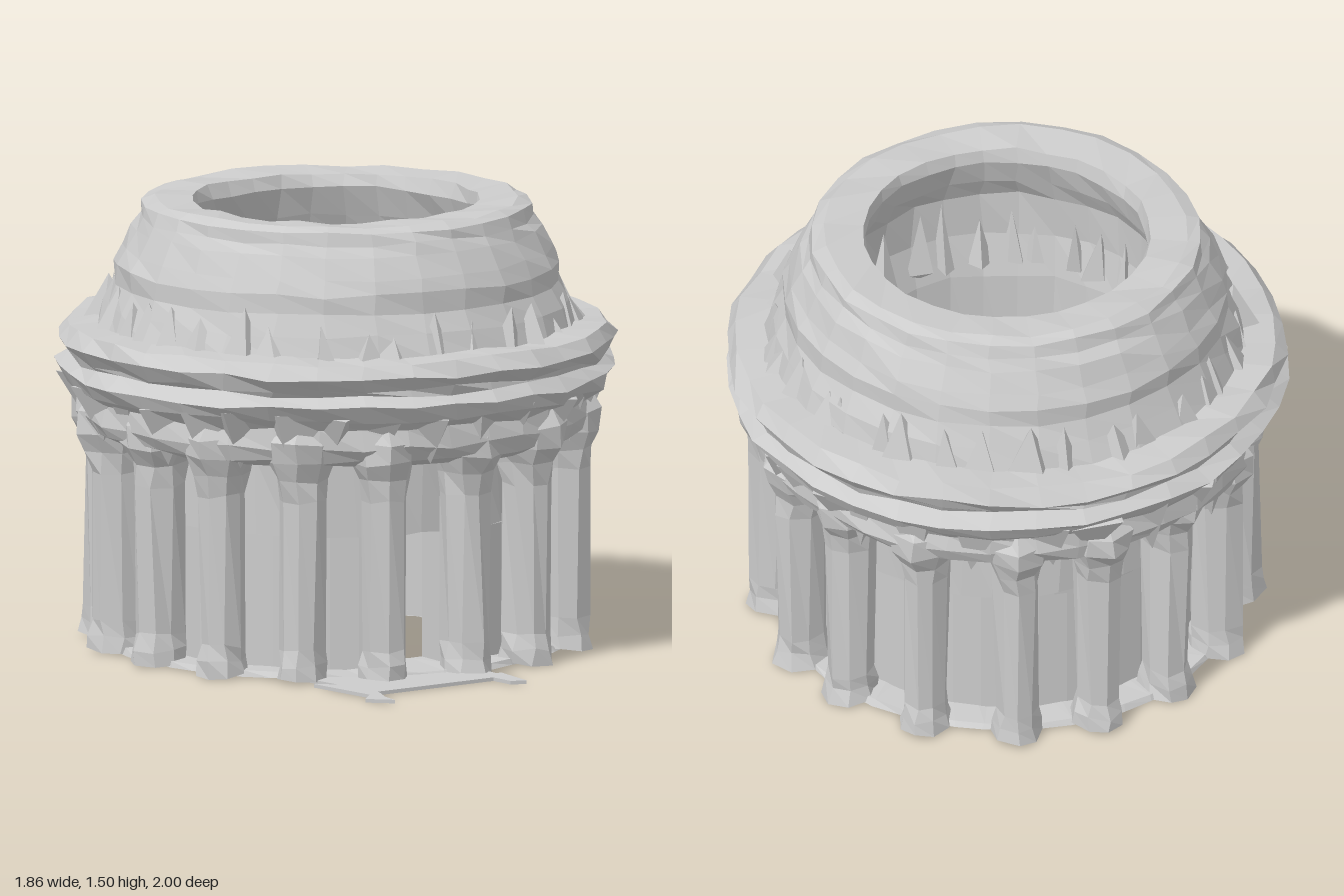
import * as THREE from 'three';

const mat = new THREE.MeshStandardMaterial({ color: 0xcccccc, flatShading: true, side: THREE.DoubleSide });
const COLUMNS = 16;
const FULL = Math.PI * 2;

// Repeatable pseudo-random value from -1 to 1
function hash(a, b, c) {
  const s = Math.sin(a * 12.99 + b * 78.23 + c * 37.72) * 43758.55;
  return (s - Math.floor(s)) * 2 - 1;
}

// Roughen a surface; coincident vertices move together
function weather(geo, amount, seed = 0) {
  const p = geo.attributes.position;
  for (let i = 0; i < p.count; i++) {
    const [x, y, z] = [p.getX(i), p.getY(i), p.getZ(i)];
    const [a, b, c] = [x, y, z].map((v) => Math.round(v * 500) + seed);
    p.setXYZ(i, x + hash(a, b, c) * amount, y + hash(b, c, a) * amount, z + hash(c, a, b) * amount);
  }
  geo.computeVertexNormals();
  return geo;
}

function add(parent, name, geo) {
  const mesh = new THREE.Mesh(geo, mat);
  mesh.name = name;
  parent.add(mesh);
  return mesh;
}

// Ring turned from [radius, height] pairs, outside going up
function ring(parent, name, profile, rough, segments = 36, start = 0, sweep = FULL) {
  const pts = profile.map(([r, y]) => new THREE.Vector2(r, y));
  return add(parent, name, weather(new THREE.LatheGeometry(pts, segments, start, sweep), rough));
}

// Jagged ornaments placed unevenly round the axis
function ornaments(parent, name, count, radius, y, size, height, flip = false) {
  const group = new THREE.Group();
  group.name = name;
  for (let i = 0; i < count; i++) {
    const a = ((i + 0.3 * hash(i, count, 3)) / count) * FULL;
    const h = height * (1 + 0.25 * hash(i, 5, count));
    const geo = weather(new THREE.ConeGeometry(size * (1 + 0.2 * hash(i, 9, 4)), h, 4), 0.015, i);
    if (flip) geo.rotateX(Math.PI);
    const m = add(group, name + 'Piece', geo);
    m.position.set(Math.sin(a) * radius, y + (flip ? -h : h) / 2, Math.cos(a) * radius);
    m.rotation.y = a + hash(i, 2, 7) * 0.8;
  }
  parent.add(group);
}

// Flat sheet with slight thickness lying on the ground
function sheet(parent, name, corners) {
  const shape = new THREE.Shape(corners.map(([x, z]) => new THREE.Vector2(x, -z)));
  const geo = new THREE.ExtrudeGeometry(shape, { depth: 0.012, bevelEnabled: false });
  add(parent, name, geo.rotateX(-Math.PI / 2));
}

export function createModel() {
  const model = new THREE.Group();
  model.name = 'roundTemple';
  const body = new THREE.Group();
  body.name = 'rotunda';
  body.position.set(-0.008, 0, -0.068);
  model.add(body);

  // Floor under the columns
  ring(body, 'floor', [[0.51, 0.005], [0.75, 0.005], [0.74, 0.022], [0.51, 0.022]], 0.005, 48);

  // Wall with a doorway left of the front column
  const inner = 0.51, outer = 0.64, doorAngle = -0.2, doorHalf = 0.16, doorTop = 0.46;
  ring(body, 'lowerWall', [[inner, doorTop], [inner, 0.01], [outer, 0.01], [outer, doorTop]], 0,
    40, doorAngle + doorHalf, FULL - doorHalf * 2);
  for (const side of [-1, 1]) {
    const a = doorAngle + side * doorHalf;
    const r = (inner + outer) / 2;
    const jamb = add(body, 'doorJamb', new THREE.PlaneGeometry(outer - inner, doorTop));
    jamb.position.set(Math.sin(a) * r, doorTop / 2, Math.cos(a) * r);
    jamb.rotation.y = a - Math.PI / 2;
  }

  // Upper wall, capital band and stepped cornice, hollow inside
  ring(body, 'upperWallAndCornice', [
    [inner, doorTop], [outer, doorTop], [outer, 0.72], [0.77, 0.715], [0.835, 0.745], [0.86, 0.79],
    [0.85, 0.85], [0.895, 0.89], [0.925, 0.935], [0.875, 0.97], [0.89, 0.99], [0.925, 1.035],
    [0.89, 1.08], [0.74, 1.085],
  ], 0.01);
  ornaments(body, 'capitalLeaves', 32, 0.81, 0.9, 0.1, 0.2, true);

  // Columns deepened towards the wall, with flared bases and capitals
  const columns = new THREE.Group();
  columns.name = 'columns';
  const shaft = [[0.001, 0], [0.085, 0], [0.078, 0.05], [0.072, 0.1], [0.075, 0.6], [0.085, 0.67],
    [0.11, 0.73], [0.115, 0.8], [0.08, 0.86]].map(([r, y]) => new THREE.Vector2(r, y));
  for (let i = 0; i < COLUMNS; i++) {
    const a = (i / COLUMNS) * FULL + (i ? 0.03 * hash(i, 4, 8) : 0);
    const r = 0.727 + 0.025 * Math.abs(Math.sin(2 * a));
    const m = add(columns, 'column', weather(new THREE.LatheGeometry(shaft, 8), 0.008, i));
    m.position.set(Math.sin(a) * r, 0.008, Math.cos(a) * r);
    m.rotation.y = a;
    m.scale.z = 1.2;
  }
  body.add(columns);

  // Drum and open dome, with the inner lining running down to the wall
  ring(body, 'openDome', [
    [0.79, 1.08], [0.765, 1.15], [0.735, 1.22], [0.735, 1.28], [0.71, 1.33], [0.675, 1.4],
    [0.65, 1.435], [0.64, 1.475], [0.6, 1.49], [0.475, 1.485], [0.465, 1.44], [0.5, 1.34],
    [0.54, 1.26], [0.55, 1.1], [0.52, 0.95], [inner, doorTop],
  ], 0.007, 28);

  // Jagged leaves at the foot of the drum, outside and inside
  ornaments(body, 'crestLeaves', 36, 0.755, 1.07, 0.065, 0.13);
  ornaments(body, 'innerFrieze', 30, 0.53, 1.0, 0.04, 0.2);

  // Scraps of ground at the front
  sheet(model, 'groundApron', [[-0.55, 0.4], [-0.3, 0.55], [0.03, 0.65], [0.03, 0.84], [-0.5, 0.84]]);
  sheet(model, 'groundStrip', [[-0.58, 0.6], [-0.46, 0.7], [-0.5, 0.86], [-0.53, 0.93], [-0.54, 1.0], [-0.61, 0.93], [-0.55, 0.87]]);
  sheet(model, 'groundTab', [[-0.03, 0.78], [0.05, 0.78], [0.03, 0.95], [-0.02, 0.93]]);
  return model;
}
